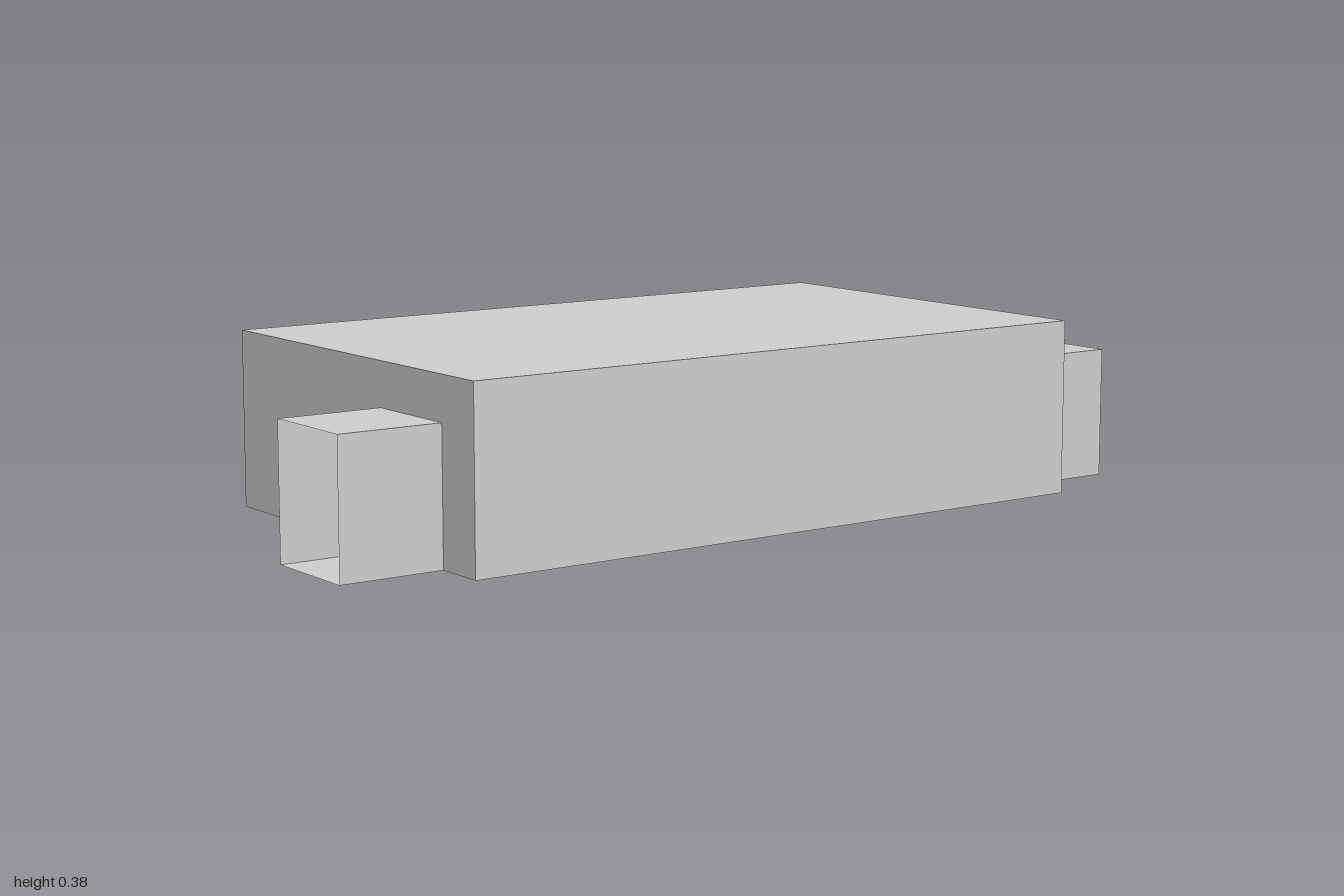
import * as THREE from 'three';

const material = new THREE.MeshStandardMaterial({
  color: 0xcccccc, flatShading: true, side: THREE.DoubleSide,
});

// Main dimensions
const ROOM_X = 0.769, ROOM_Z = 0.4615, ROOM_H = 0.385;
const END_X = 1, DOOR_NEAR = 0.115, DOOR_FAR = 0.346, DOOR_H = 0.29;

function panel(name, geometry) {
  const mesh = new THREE.Mesh(geometry, material);
  mesh.name = name;
  return mesh;
}

// Horizontal sheet at height y, facing up or down
function slab(name, x0, x1, z0, z1, y, up) {
  const g = new THREE.PlaneGeometry(x1 - x0, z1 - z0);
  g.rotateX(up ? -Math.PI / 2 : Math.PI / 2);
  g.translate((x0 + x1) / 2, y, (z0 + z1) / 2);
  return panel(name, g);
}

// Upright sheet running along x at depth z, facing +z or -z
function wall(name, x0, x1, h, z, facing) {
  const g = new THREE.PlaneGeometry(x1 - x0, h);
  if (facing < 0) g.rotateY(Math.PI);
  g.translate((x0 + x1) / 2, h / 2, z);
  return panel(name, g);
}

// End wall of the room with a doorway cut up from the floor
function doorWall(side) {
  const outline = [
    [-ROOM_Z, 0], [DOOR_NEAR, 0], [DOOR_NEAR, DOOR_H], [DOOR_FAR, DOOR_H],
    [DOOR_FAR, 0], [ROOM_Z, 0], [ROOM_Z, ROOM_H], [-ROOM_Z, ROOM_H],
  ];
  const shape = new THREE.Shape(outline.map(([z, y]) => new THREE.Vector2(-side * z, y)));
  const g = new THREE.ShapeGeometry(shape);
  g.rotateY(side * Math.PI / 2);
  g.translate(side * ROOM_X, 0, 0);
  return panel('doorWall', g);
}

// Open-ended square passage leading out of a doorway
function passage(side) {
  const group = new THREE.Group();
  group.name = side > 0 ? 'leftPassage' : 'rightPassage';
  const x0 = side > 0 ? ROOM_X : -END_X;
  const x1 = side > 0 ? END_X : -ROOM_X;
  group.add(
    slab('passageCeiling', x0, x1, DOOR_NEAR, DOOR_FAR, DOOR_H, true),
    slab('passageFloor', x0, x1, DOOR_NEAR, DOOR_FAR, 0, false),
    wall('passageFrontWall', x0, x1, DOOR_H, DOOR_FAR, 1),
    wall('passageBackWall', x0, x1, DOOR_H, DOOR_NEAR, -1),
  );
  return group;
}

export function createModel() {
  const model = new THREE.Group();
  model.name = 'roomWithPassages';

  // Hollow room
  const room = new THREE.Group();
  room.name = 'room';
  room.add(
    slab('ceiling', -ROOM_X, ROOM_X, -ROOM_Z, ROOM_Z, ROOM_H, true),
    slab('floor', -ROOM_X, ROOM_X, -ROOM_Z, ROOM_Z, 0, false),
    wall('frontWall', -ROOM_X, ROOM_X, ROOM_H, ROOM_Z, 1),
    wall('backWall', -ROOM_X, ROOM_X, ROOM_H, -ROOM_Z, -1),
  );
  model.add(room);

  // Doorways and passages on both ends
  for (const side of [-1, 1]) {
    room.add(doorWall(side));
    model.add(passage(side));
  }
  return model;
}
